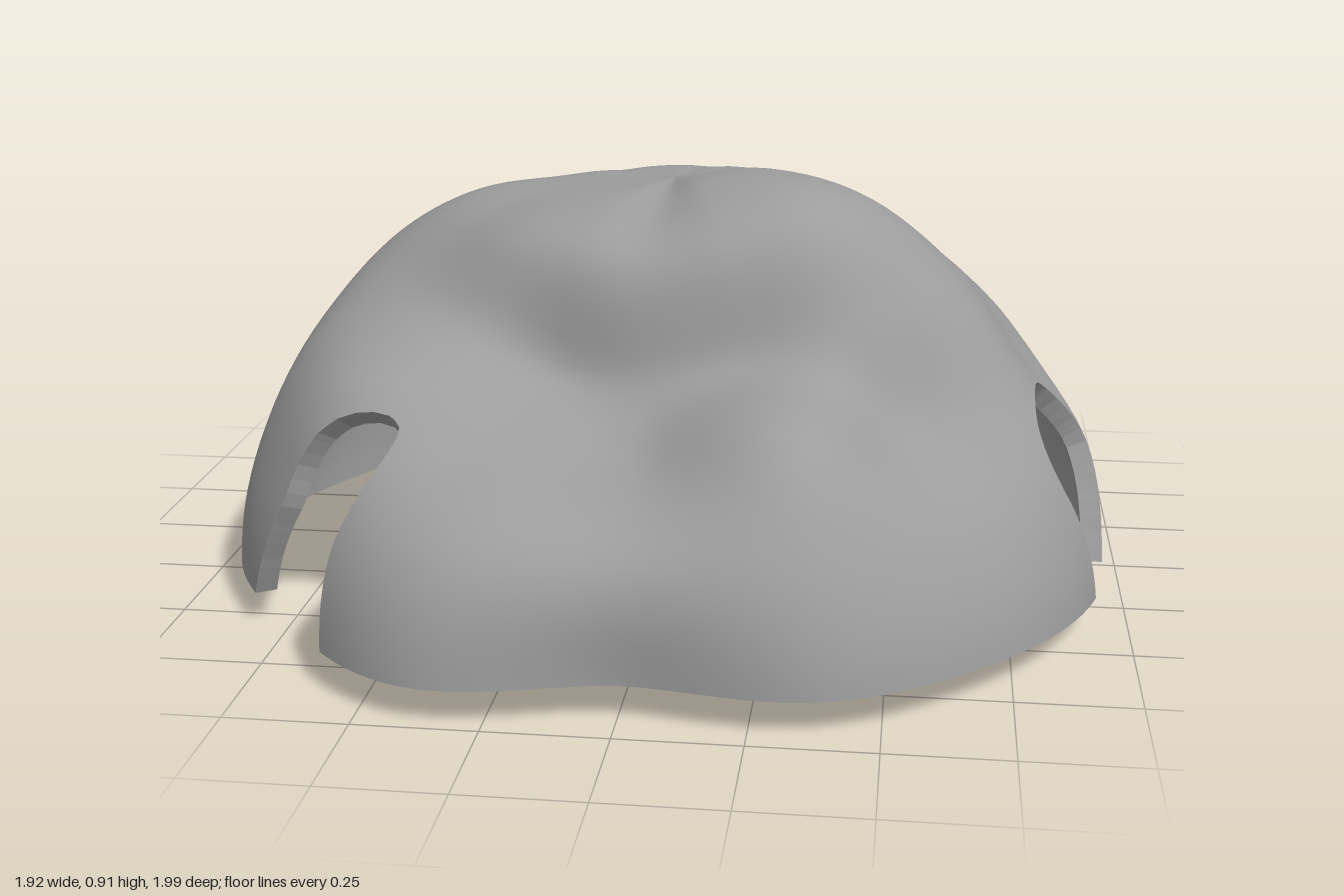
import * as THREE from 'three';
import { mergeVertices } from 'three/addons/utils/BufferGeometryUtils.js';

const BASE_Y = 0.06;
const THICKNESS = 0.046;
const TOP = 0.81;

// Rock radius by compass direction (from +x round through the front),
// each at elevations 0, 15, 30, 45, 60 and 75 degrees
const PROFILES = [
  [0.95, 0.95, 0.88, 0.88, 0.87, 0.85], // left side
  [1.00, 0.97, 0.92, 0.92, 0.93, 0.88],
  [1.02, 0.95, 0.83, 0.86, 0.93, 0.88],
  [1.03, 0.99, 0.91, 0.74, 0.87, 0.86],
  [0.93, 0.93, 0.74, 0.68, 0.82, 0.82], // front
  [1.06, 1.00, 0.79, 0.68, 0.83, 0.83],
  [1.00, 0.98, 0.94, 0.79, 0.85, 0.83],
  [0.985, 0.97, 0.94, 0.86, 0.86, 0.83],
  [0.955, 0.93, 0.93, 0.92, 0.89, 0.83], // right side
  [0.89, 0.91, 0.90, 0.89, 0.85, 0.83],
  [0.95, 0.95, 0.89, 0.82, 0.80, 0.82],
  [0.99, 1.00, 0.91, 0.76, 0.76, 0.82],
  [0.98, 1.02, 0.91, 0.74, 0.75, 0.82], // back
  [0.93, 0.96, 0.85, 0.73, 0.75, 0.82],
  [0.86, 0.88, 0.81, 0.73, 0.76, 0.83],
  [0.90, 0.92, 0.90, 0.85, 0.82, 0.84],
];

// Arched doorways: ux, uz = sideways direction, side = sign of x they lie on,
// c and w = centre and half width at the ground and at the spring line k,
// h = rise of the arch above k
const DOORS = [
  { ux: 0.5, uz: 0.85, side: -1, c: [0.235, 0.265], w: [0.18, 0.115], k: 0.3, h: 0.2 },
  { ux: 0, uz: 1, side: 1, c: [0.25, 0.21], w: [0.11, 0.18], k: 0.31, h: 0.17 },
];

function cubic(p0, p1, p2, p3, t) {
  return p1 + 0.5 * t * (p2 - p0 + t * (2 * p0 - 5 * p1 + 4 * p2 - p3 + t * (3 * (p1 - p2) + p3 - p0)));
}

// Smooth radius between the profiles
function radius(a, e) {
  const n = PROFILES.length;
  const u = (a / (2 * Math.PI)) * n;
  const i = Math.floor(u);
  const v = Math.min((e / (Math.PI / 2)) * 6, 6);
  const j = THREE.MathUtils.clamp(Math.floor(v), 0, 5);
  const ring = (row) => {
    if (row === 6) return TOP;
    // past the summit, carry on down the opposite side
    const turn = row > 6 ? n / 2 : 0;
    const r = row > 6 ? 5 : Math.max(row, 0);
    const at = (k) => PROFILES[(i + k + turn + n) % n][r];
    return cubic(at(-1), at(0), at(1), at(2), u - i);
  };
  return cubic(ring(j - 1), ring(j), ring(j + 1), ring(j + 2), v - j);
}

// Point on the outer surface, with a ground edge that dips at the back
function outerPoint(a, e) {
  const r = radius(a, e);
  const flat = r * Math.cos(e);
  const fade = Math.max(0, 1 - e / 0.3);
  const dip = 0.015 * Math.sin(a) - 0.045 * Math.exp(-(((a - 4.84) / 0.27) ** 2));
  return new THREE.Vector3(flat * Math.cos(a), BASE_Y + r * Math.sin(e) + dip * fade, flat * Math.sin(a));
}

// Matching point on the inner surface, level with the outer one at the ground
function innerPoint(a, e) {
  const p = outerPoint(a, e);
  const normal = new THREE.Vector3(0, 1, 0);
  if (e < 1.5) {
    const d = 0.01;
    const along = outerPoint(a + d, e).sub(outerPoint(a - d, e));
    const up = outerPoint(a, e + d).sub(p);
    normal.crossVectors(up, along).normalize();
    normal.y *= Math.min(1, e / 0.2);
  }
  return p.addScaledVector(normal, -THICKNESS);
}

// Negative inside a doorway
function solid(a, e) {
  const p = outerPoint(a, e);
  let f = 1;
  for (const d of DOORS) {
    if (p.x * d.side < 0.3) continue;
    const t = THREE.MathUtils.clamp((p.y - BASE_Y) / (d.k - BASE_Y), 0, 1);
    const c = THREE.MathUtils.lerp(d.c[0], d.c[1], t);
    const w = THREE.MathUtils.lerp(d.w[0], d.w[1], t);
    const s = (p.x * d.ux + p.z * d.uz - c) / w;
    const up = Math.max(0, p.y - d.k) / d.h;
    f = Math.min(f, s * s + up * up - 1);
  }
  return f;
}

// Trims a patch of the shell against the doorways
function clip(poly) {
  const out = [];
  poly.forEach((p, i) => {
    const q = poly[(i + 1) % poly.length];
    if (p.f >= 0) out.push(p);
    if (p.f >= 0 !== q.f >= 0) {
      const t = p.f / (p.f - q.f);
      out.push({ a: p.a + (q.a - p.a) * t, e: p.e + (q.e - p.e) * t, cut: true });
    }
  });
  return out;
}

function surface(points, smooth) {
  let geometry = new THREE.BufferGeometry().setFromPoints(points);
  if (smooth) geometry = mergeVertices(geometry, 1e-4);
  geometry.computeVertexNormals();
  return geometry;
}

export function createModel() {
  const outer = [];
  const inner = [];
  const rim = [];
  const nA = 160;
  const nE = 48;

  const grid = [];
  for (let i = 0; i <= nA; i++) {
    grid.push([]);
    for (let j = 0; j <= nE; j++) {
      const a = (i / nA) * 2 * Math.PI;
      const e = (j / nE) * (Math.PI / 2);
      grid[i].push({ a, e, f: solid(a, e) });
    }
  }

  for (let i = 0; i < nA; i++) {
    for (let j = 0; j < nE; j++) {
      const patch = [grid[i][j], grid[i][j + 1], grid[i + 1][j + 1], grid[i + 1][j]];
      if (j === nE - 1) patch.splice(2, 1); // triangles meet at the summit
      const poly = clip(patch);
      const o = poly.map((p) => outerPoint(p.a, p.e));
      const n = poly.map((p) => innerPoint(p.a, p.e));
      for (let k = 1; k < poly.length - 1; k++) {
        outer.push(o[0], o[k], o[k + 1]);
        inner.push(n[0], n[k + 1], n[k]);
      }
      // wall thickness along the ground and round the doorways
      poly.forEach((p, k) => {
        const m = (k + 1) % poly.length;
        const q = poly[m];
        if ((p.e === 0 && q.e === 0) || (p.cut && q.cut)) {
          rim.push(o[m], o[k], n[k], o[m], n[k], n[m]);
        }
      });
    }
  }

  const group = new THREE.Group();
  group.name = 'rockCave';
  const material = new THREE.MeshStandardMaterial({ color: 0x9c9c9c, side: THREE.DoubleSide });
  const add = (name, points, smooth) => {
    const mesh = new THREE.Mesh(surface(points, smooth), material);
    mesh.name = name;
    group.add(mesh);
  };
  add('outerRock', outer, true);
  add('caveInterior', inner, true);
  add('cutEdges', rim, false);
  return group;
}
